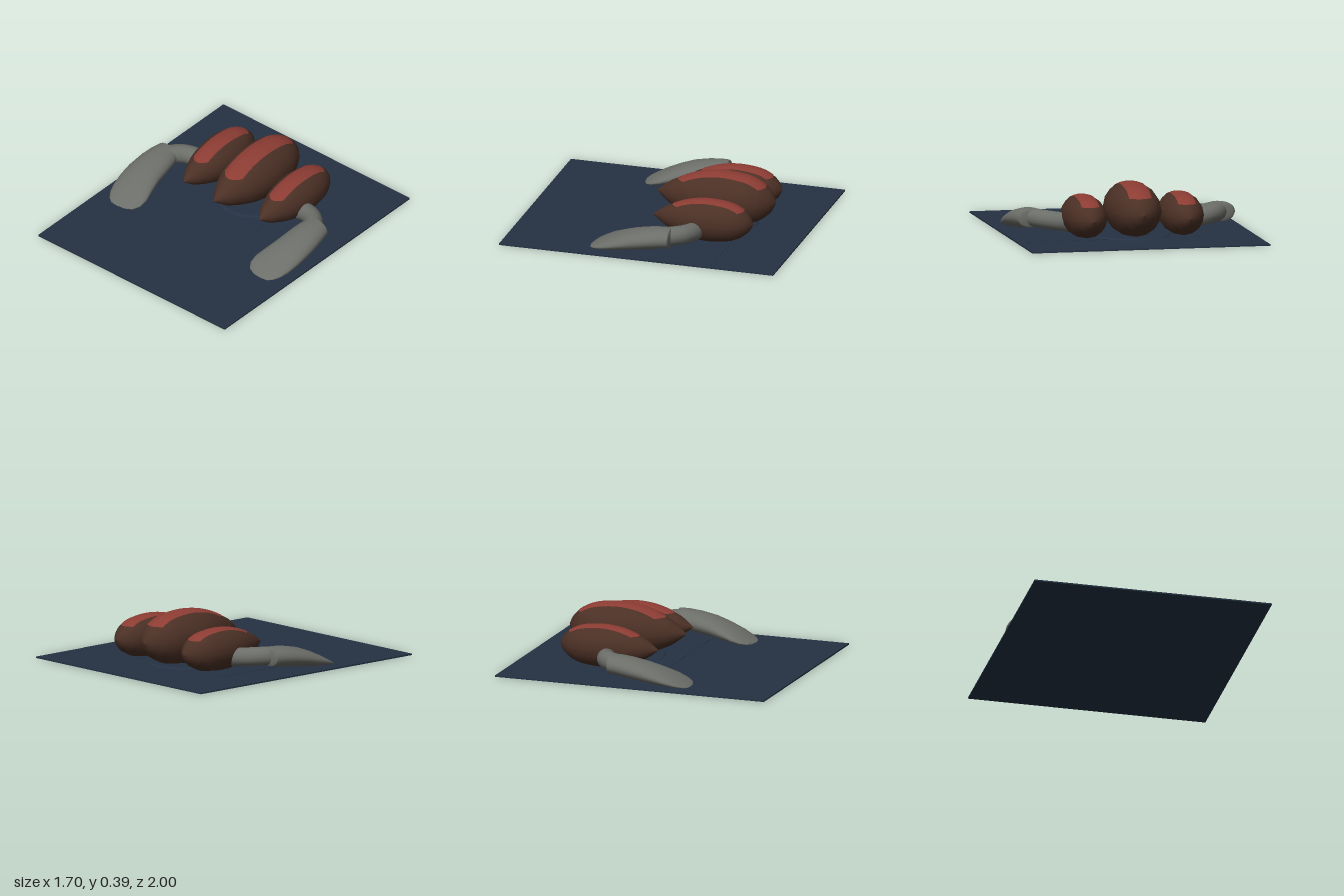
import * as THREE from 'three';
import { mergeVertices } from 'three/addons/utils/BufferGeometryUtils.js';

const material = (name, color) => {
  const m = new THREE.MeshStandardMaterial({ color });
  m.name = name;
  return m;
};

// Pod outline: fraction of length from the back, fraction of full radius
const PROFILE = new THREE.SplineCurve([
  [0, 0], [0.035, 0.33], [0.087, 0.58], [0.14, 0.74], [0.24, 0.91], [0.42, 1],
  [0.58, 0.94], [0.7, 0.8], [0.8, 0.61], [0.89, 0.4], [1, 0],
].map(([t, r]) => new THREE.Vector2(t, r))).getPoints(40);

// Linear lookup of the outline, either radius at t or t at radius
function radiusAt(t) {
  for (let i = 1; i < PROFILE.length; i++) {
    const a = PROFILE[i - 1], b = PROFILE[i];
    if (t <= b.x) return Math.max(0, a.y + (b.y - a.y) * (t - a.x) / (b.x - a.x));
  }
  return 0;
}
function crossing(r, inside, outside) {
  for (let i = 0; i < 30; i++) {
    const mid = (inside + outside) / 2;
    if (radiusAt(mid) >= r) inside = mid; else outside = mid;
  }
  return inside;
}

export function createModel() {
  const root = new THREE.Group();
  const navy = material('navy floor', 0x253243);
  const brown = material('dark brown', 0x4b3025);
  const red = material('brick red', 0x8c3c33);
  const grey = material('stone grey', 0x6c6e69);
  red.side = THREE.DoubleSide;

  const add = (parent, name, geometry, mat, x = 0, y = 0, z = 0) => {
    const mesh = new THREE.Mesh(geometry, mat);
    mesh.name = name;
    mesh.position.set(x, y, z);
    parent.add(mesh);
    return mesh;
  };

  // Floor with two barely raised panels and a bevelled disc
  add(root, 'floorPlate', new THREE.BoxGeometry(1.7, 0.01, 2), navy, 0, 0.005, 0);
  add(root, 'widePanel', new THREE.BoxGeometry(0.82, 0.002, 0.6), navy, -0.13, 0.0105, -0.24);
  add(root, 'narrowPanel', new THREE.BoxGeometry(0.54, 0.002, 0.6), navy, 0.58, 0.0105, -0.24);
  add(root, 'raisedDisc', new THREE.CylinderGeometry(0.265, 0.283, 0.011, 48), navy, 0, 0.0155, -0.34);

  // Pod: turned body lying along z, with a stripe wrapped over its top
  function addPod(name, x, y, zBack, length, radius, halfStripe, stripeHeight) {
    const pod = new THREE.Group();
    pod.name = name;
    pod.position.set(x, y, zBack);
    root.add(pod);

    const outline = PROFILE.map(p => new THREE.Vector2(Math.max(0, p.y) * radius, p.x * length));
    add(pod, 'podBody', new THREE.LatheGeometry(outline, 16).rotateX(Math.PI / 2), brown);

    const stripe = new THREE.PlaneGeometry(1, 1, 10, 28).rotateX(-Math.PI / 2);
    const pos = stripe.attributes.position;
    for (let i = 0; i < pos.count; i++) {
      const sx = pos.getX(i) * 2 * halfStripe;
      const edge = Math.hypot(sx, stripeHeight) / radius;
      const start = crossing(edge, 0.42, 0), end = crossing(edge, 0.42, 1);
      const t = start + (end - start) * (pos.getZ(i) + 0.5);
      const r = radiusAt(t) * radius + 0.002;
      pos.setXYZ(i, sx, Math.sqrt(Math.max(0, r * r - sx * sx)), t * length);
    }
    stripe.computeVertexNormals();
    add(pod, 'podStripe', stripe, red);
  }
  addPod('centrePod', 0, 0.2, -0.76, 0.87, 0.19, 0.08, 0.108);
  for (const s of [-1, 1]) {
    addPod(s > 0 ? 'leftPod' : 'rightPod', s * 0.345, 0.16, -0.7, 0.73, 0.15, 0.063, 0.09);
  }

  // Paw cross-sections: z, inner x, outer x, bottom, top
  const SECTIONS = [
    [-0.2, 0.59, 0.775, 0.06, 0.197], [-0.14, 0.57, 0.79, 0.052, 0.197],
    [-0.05, 0.557, 0.805, 0.04, 0.186], [0.06, 0.543, 0.813, 0.025, 0.163],
    [0.16, 0.52, 0.81, 0.012, 0.128], [0.25, 0.497, 0.798, 0.004, 0.088],
    [0.31, 0.503, 0.777, 0.003, 0.055], [0.355, 0.535, 0.745, 0.003, 0.03],
    [0.378, 0.59, 0.71, 0.003, 0.016], [0.385, 0.65, 0.66, 0.004, 0.012],
  ];
  function pawGeometry(s) {
    const n = 24, points = [], index = [];
    for (const [z, x0, x1, y0, y1] of SECTIONS) {
      for (let k = 0; k < n; k++) {
        const a = k / n * Math.PI * 2;
        points.push(s * ((x0 + x1) / 2 + Math.cos(a) * (x1 - x0) / 2),
          (y0 + y1) / 2 + Math.sin(a) * (y1 - y0) / 2, z);
      }
    }
    const tri = (a, b, c) => (s > 0 ? index.push(a, b, c) : index.push(a, c, b));
    for (let j = 0; j < SECTIONS.length - 1; j++) {
      for (let k = 0; k < n; k++) {
        const a = j * n + k, b = j * n + (k + 1) % n;
        tri(a, b, b + n);
        tri(a, b + n, a + n);
      }
    }
    const g = new THREE.BufferGeometry();
    g.setAttribute('position', new THREE.Float32BufferAttribute(points, 3));
    g.setIndex(index);
    g.computeVertexNormals();
    return mergeVertices(g);
  }

  // Bent arms reaching from the outer pods to the paws
  for (const s of [-1, 1]) {
    const arm = new THREE.Group();
    arm.name = s > 0 ? 'leftArm' : 'rightArm';
    root.add(arm);
    const path = new THREE.CatmullRomCurve3([
      [0.4, 0.1, -0.3], [0.5, 0.115, -0.3], [0.59, 0.126, -0.26],
      [0.65, 0.13, -0.19], [0.68, 0.125, -0.1],
    ].map(([x, y, z]) => new THREE.Vector3(s * x, y, z)));
    add(arm, 'forearm', new THREE.TubeGeometry(path, 24, 0.066, 16), grey);
    add(arm, 'paw', pawGeometry(s), grey);
    // Rounded heel closing the back of the paw
    const heel = add(arm, 'heel', new THREE.SphereGeometry(1, 20, 12), grey, s * 0.6825, 0.1285, -0.195);
    heel.scale.set(0.0925, 0.0685, 0.015);
  }
  return root;
}
